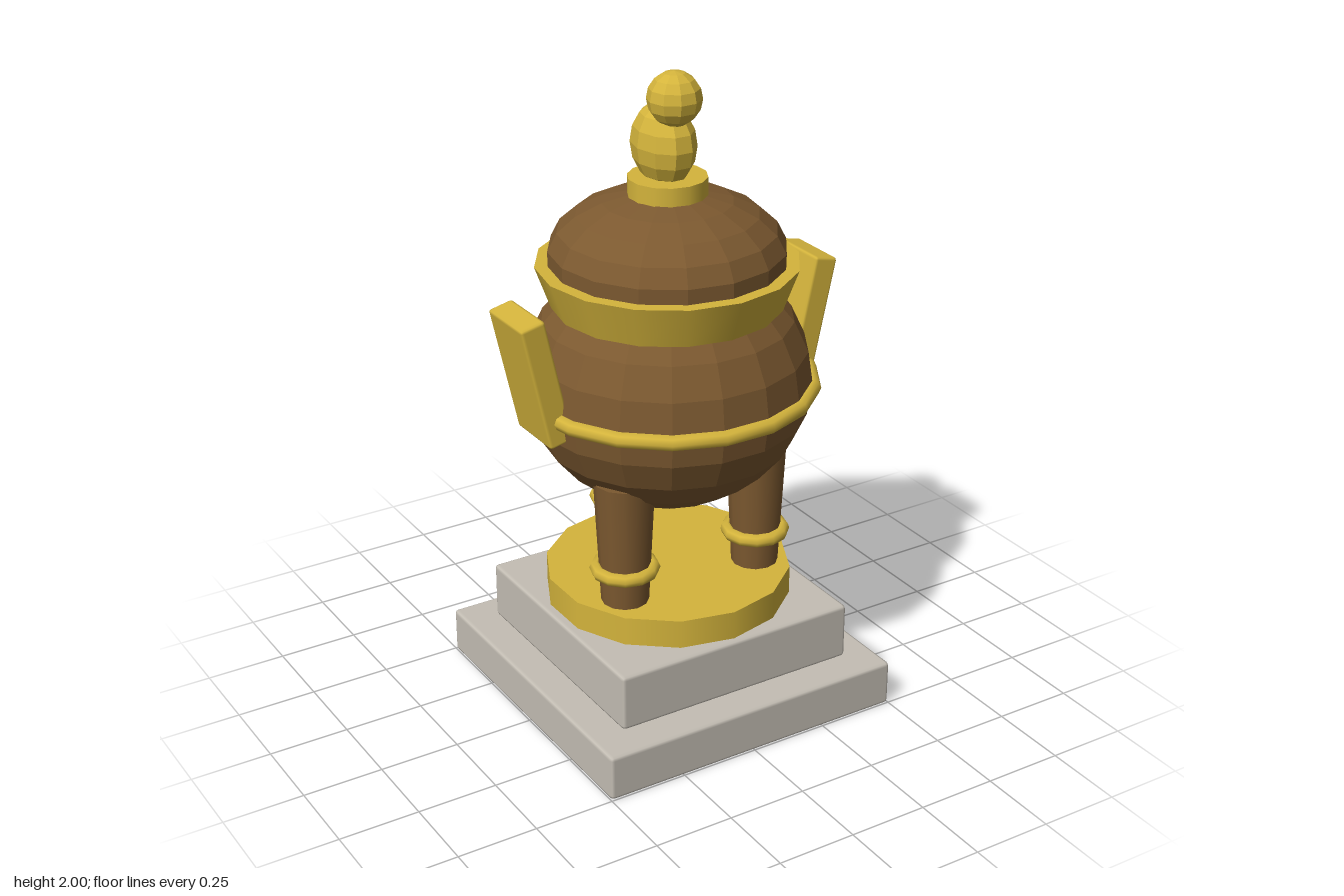
import * as THREE from 'three';
import { RoundedBoxGeometry } from 'three/addons/geometries/RoundedBoxGeometry.js';

export function createModel() {
  const model = new THREE.Group();
  model.name = 'incenseBurner';

  const material = (name, color) => {
    const m = new THREE.MeshStandardMaterial({ color });
    m.name = name;
    return m;
  };
  const stone = material('stone', 0xc4beb4);
  const gold = material('gold', 0xd4b43c);
  const bronze = material('bronze', 0x7c5930);

  const add = (name, geometry, mat, x, y, z, parent = model) => {
    const mesh = new THREE.Mesh(geometry, mat);
    mesh.name = name;
    mesh.position.set(x, y, z);
    parent.add(mesh);
    return mesh;
  };

  // Faceted ellipsoid, optionally cut off below an angle from the top
  const facetedBall = (rx, ry, rz, across, rows, sweep = Math.PI) => {
    const g = new THREE.SphereGeometry(1, across, rows, 0, Math.PI * 2, 0, sweep)
      .scale(rx, ry, rz).toNonIndexed();
    g.computeVertexNormals();
    return g;
  };
  const ring = (radius, tube, sides) =>
    new THREE.TorusGeometry(radius, tube, 8, sides).rotateX(Math.PI / 2);

  // Stepped stone plinth
  add('lowerSlab', new RoundedBoxGeometry(1, 0.145, 1, 1, 0.012), stone, 0, 0.0725, 0);
  add('upperSlab', new RoundedBoxGeometry(0.8, 0.18, 0.8, 1, 0.012), stone, 0, 0.24, 0);
  add('baseDisc', new THREE.CylinderGeometry(0.38, 0.38, 0.09, 14), gold, 0, 0.375, 0);

  // Three legs with ankle rings: two in front, one behind
  for (let i = 0; i < 3; i++) {
    const angle = Math.PI / 6 + (i * Math.PI * 2) / 3;
    const leg = new THREE.Group();
    leg.name = 'leg' + (i + 1);
    leg.position.set(Math.cos(angle) * 0.27, 0, Math.sin(angle) * 0.27);
    add('legPost', new THREE.CylinderGeometry(0.092, 0.072, 0.41, 12), bronze, 0, 0.615, 0, leg);
    add('ankleRing', ring(0.086, 0.021, 12), gold, 0, 0.527, 0, leg);
    model.add(leg);
  }

  // Round vessel, waist band and flared collar
  add('vessel', facetedBall(0.435, 0.39, 0.435, 18, 12), bronze, 0, 1.05, 0);
  add('waistBand', ring(0.437, 0.024, 18), gold, 0, 1.037, 0);
  add('collar', new THREE.CylinderGeometry(0.392, 0.345, 0.13, 16), gold, 0, 1.355, 0);

  // Side handles leaning outward
  for (const side of [1, -1]) {
    const handle = add(side > 0 ? 'leftHandle' : 'rightHandle',
      new RoundedBoxGeometry(0.08, 0.4, 0.2, 1, 0.01), gold, side * 0.46, 1.16, 0);
    handle.rotation.z = -side * 0.22;
  }

  // Domed lid
  add('lid', facetedBall(0.356, 0.197, 0.356, 16, 6, Math.PI * 0.55), bronze, 0, 1.44, 0);

  // Seated finial on a small drum
  add('finialDrum', new THREE.CylinderGeometry(0.118, 0.118, 0.09, 14), gold, 0, 1.635, 0);
  add('finialBody', facetedBall(0.088, 0.125, 0.12, 10, 8), gold, 0, 1.77, -0.022);
  add('finialHead', facetedBall(0.081, 0.081, 0.081, 10, 8), gold, 0, 1.919, 0.037);

  return model;
}
